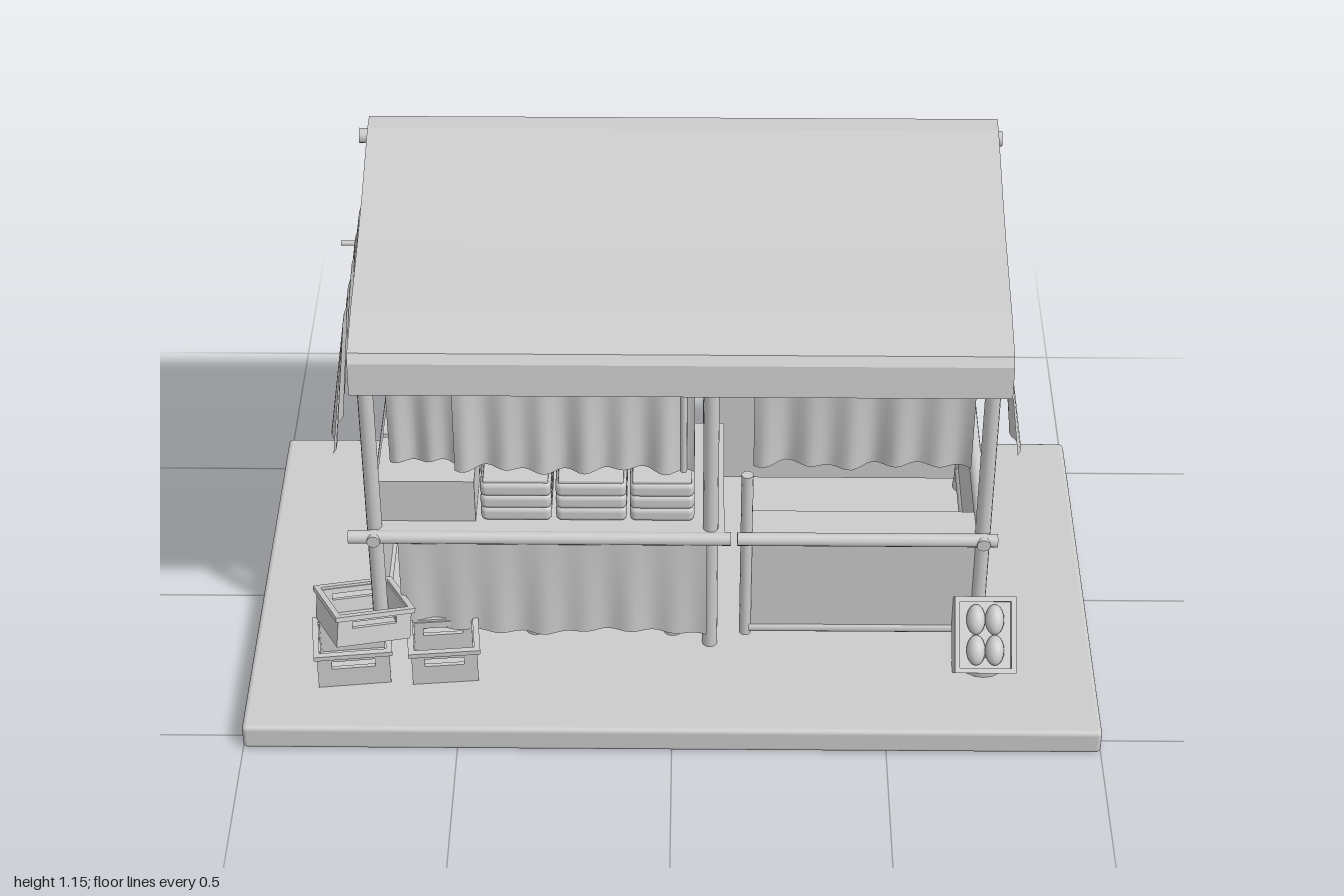
import * as THREE from 'three';
import { RoundedBoxGeometry } from 'three/addons/geometries/RoundedBoxGeometry.js';

const mat = new THREE.MeshStandardMaterial({ color: 0xcccccc });
const thin = new THREE.MeshStandardMaterial({ color: 0xcccccc, side: THREE.DoubleSide });

export function createModel() {
  const root = new THREE.Group();

  const add = (name, geo, x = 0, y = 0, z = 0, parent = root, m = mat) => {
    const mesh = new THREE.Mesh(geo, m);
    mesh.name = name;
    mesh.position.set(x, y, z);
    parent.add(mesh);
    return mesh;
  };
  // box given by its lower and upper corners
  const box = (name, a, b, parent = root) => add(name,
    new THREE.BoxGeometry(b[0] - a[0], b[1] - a[1], b[2] - a[2]),
    (a[0] + b[0]) / 2, (a[1] + b[1]) / 2, (a[2] + b[2]) / 2, parent);
  // round pole between two points
  const pole = (name, a, b, r = 0.018, parent = root) => {
    const p = new THREE.Vector3(...a), q = new THREE.Vector3(...b), d = q.clone().sub(p);
    const mesh = add(name, new THREE.CylinderGeometry(r, r, d.length(), 12), 0, 0, 0, parent);
    mesh.position.copy(p).add(q).multiplyScalar(0.5);
    mesh.quaternion.setFromUnitVectors(new THREE.Vector3(0, 1, 0), d.normalize());
    return mesh;
  };
  // hanging cloth, pinned at the top, with folds that deepen downward and a lean
  const cloth = (name, w, h, folds, depth, lean) => {
    const geo = new THREE.PlaneGeometry(w, h, folds * 8, 8);
    const p = geo.attributes.position;
    for (let i = 0; i < p.count; i++) {
      const u = p.getX(i) / w + 0.5, t = 0.5 - p.getY(i) / h;
      const wave = Math.sin(u * folds * Math.PI * 2) + 0.4 * Math.sin(u * folds * 3.7 + 1);
      p.setZ(i, lean * t + depth * (0.2 + 0.8 * t) * wave);
      p.setY(i, p.getY(i) + 0.006 * t * Math.sin(u * 11));
    }
    geo.computeVertexNormals();
    return add(name, geo, 0, 0, 0, root, thin);
  };

  const L = 0.722, R = -0.695, F = 0.235, B = -0.36, M = 0.088, G = 0.06;

  // ground slab
  add('groundSlab', new RoundedBoxGeometry(2, 0.066, 1.09, 2, 0.012), 0, 0.033, 0);

  // posts
  for (const x of [L, R]) {
    pole('frontPost', [x, G, F], [x, 0.95, F]);
    pole('backPost', [x, G, B], [x, 1.13, B]);
  }
  pole('frontMiddlePost', [M, G, F], [M, 0.95, F]);
  pole('backMiddlePost', [M, G, B], [M, 1.12, B]);
  pole('dividerPost', [0.172, 0.1, F], [0.172, 0.58, F], 0.014);

  // roof beams and counter rails
  pole('frontBeam', [-0.72, 0.945, F], [0.75, 0.945, F]);
  pole('backBeam', [-0.74, 1.115, B], [0.765, 1.115, B]);
  pole('frontCounterRail', [-0.755, 0.408, 0.26], [0.135, 0.408, 0.26], 0.016);
  pole('frontCounterRail', [0.15, 0.408, 0.26], [0.755, 0.408, 0.26], 0.016);
  for (const x of [L, R]) {
    pole('sideBeam', [x, 0.942, 0.31], [x, 0.942, -0.37], 0.016);
    pole('sideRail', [x, 0.408, 0.28], [x, 0.408, -0.405], 0.016);
    pole('sideBottomRail', [x, 0.125, F], [x, 0.125, B], 0.016);
    box('sidePanel', [x - 0.008, 0.11, B], [x + 0.008, 0.405, F]);
  }

  // sagging roof sheet with a turned-down front edge
  const top = [[-0.39, 1.15], [-0.34, 1.15], [-0.15, 1.092], [0.0, 1.055], [0.2, 1.018], [0.32, 0.985], [0.334, 0.965], [0.342, 0.885]];
  const under = [[0.325, 0.88], [0.308, 0.955], [0.2, 0.987], [0.0, 1.028], [-0.15, 1.065], [-0.34, 1.125], [-0.39, 1.128]];
  const roofShape = new THREE.Shape([...top, ...under].map(([z, y]) => new THREE.Vector2(-z, y)));
  const roofGeo = new THREE.ExtrudeGeometry(roofShape, { depth: 1.472, bevelEnabled: false });
  roofGeo.rotateY(Math.PI / 2);
  add('roof', roofGeo, -0.718, 0, 0);

  // back wall: full height behind one bay, raised behind the other
  box('backWall', [M, 0.1, B - 0.008], [L, 0.84, B + 0.008]);
  box('raisedBackWall', [R, 0.37, B - 0.008], [M, 0.84, B + 0.008]);
  box('backShelf', [0.18, 0.43, B], [0.7, 0.49, B + 0.02]);

  // front panel of the narrow bay
  box('frontPanel', [0.185, 0.11, F - 0.008], [L, 0.4, F + 0.008]);
  pole('frontBottomRail', [0.18, 0.12, F], [L, 0.12, F], 0.014);
  box('narrowLedge', [0.16, 0.395, 0.16], [L, 0.412, 0.26]);

  // counter with its front cloth and low shelf
  box('counterTop', [R, 0.398, -0.16], [0.12, 0.422, 0.26]);
  box('underShelf', [-0.5, 0.23, -0.16], [0.06, 0.25, 0.1]);
  cloth('counterCloth', 0.72, 0.28, 7, 0.006, 0.004).position.set(-0.28, 0.27, 0.268);

  // ribbed storage bins in two rows
  for (const [z, d] of [[0.135, 0.165], [-0.05, 0.18]]) {
    box('squareBin', [-0.685, 0.42, z - d / 2], [-0.46, 0.54, z + d / 2]);
    [[-0.365, 0.165], [-0.19, 0.165], [-0.025, 0.15]].forEach(([x, w]) => {
      for (let i = 0; i < 3; i++) {
        add('ribbedBin', new RoundedBoxGeometry(w, 0.041, d, 3, 0.014), x, 0.441 + i * 0.036, z);
      }
      add('binLid', new RoundedBoxGeometry(w * 0.92, 0.012, d * 0.92, 1, 0.004), x, 0.534, z);
    });
  }

  // front curtains
  [[-0.575, 0.15, 0.3, 2], [-0.225, 0.55, 0.31, 6], [0.435, 0.5, 0.31, 5]].forEach(([x, w, h, n], i) => {
    cloth('frontCurtain', w, h + 0.02, n, 0.011, i === 1 ? 0.012 : -0.012).position.set(x, 0.765, F);
  });
  pole('curtainEdge', [0.025, 0.59, F], [0.025, 0.93, F], 0.008);

  // side curtains, two lengths each, leaning outward
  for (const s of [1, -1]) {
    const x = s > 0 ? L + 0.03 : R - 0.05;
    for (const [z, w, n] of [[-0.022, 0.405, 4], [-0.278, 0.105, 1]]) {
      const c = cloth('sideCurtain', w, 0.335, n, 0.009, 0.04);
      c.position.set(x, 0.765, z);
      c.rotation.y = s * Math.PI / 2;
    }
  }

  // stools under the counter
  for (const [x, z] of [[-0.09, -0.26], [-0.39, -0.26], [-0.22, -0.11], [-0.06, 0.03]]) {
    const w = z < -0.2 ? 0.065 : 0.045;
    add('stool', new THREE.CylinderGeometry(w, w * 0.9, 0.12, 16), x, 0.125, z);
    add('stoolSeat', new RoundedBoxGeometry(w * 2.1, 0.025, w * 2.1, 2, 0.01), x, 0.195, z);
  }
  pole('innerLeg', [-0.33, G, 0.19], [-0.33, 0.4, 0.19], 0.024);
  pole('innerLeg', [0.0, G, 0.19], [0.0, 0.4, 0.19], 0.024);

  // open crates with a hand slot in front and back
  const crate = (w, h, d) => {
    const g = new THREE.Group();
    g.name = 'crate';
    const t = 0.01;
    box('crateFloor', [-w / 2, 0, -d / 2], [w / 2, t, d / 2], g);
    for (const s of [-1, 1]) {
      add('crateSide', new THREE.BoxGeometry(t, h, d), s * (w - t) / 2, h / 2, 0, g);
      const wall = new THREE.Shape([[-w / 2, 0], [w / 2, 0], [w / 2, h], [-w / 2, h]].map(p => new THREE.Vector2(...p)));
      wall.holes.push(new THREE.Path([[-0.3, 0.6], [-0.3, 0.82], [0.3, 0.82], [0.3, 0.6]].map(([u, v]) => new THREE.Vector2(u * w, v * h))));
      add('crateEnd', new THREE.ExtrudeGeometry(wall, { depth: t, bevelEnabled: false }), 0, 0, s > 0 ? d / 2 - t : -d / 2, g);
      add('crateRim', new THREE.BoxGeometry(w + 0.012, 0.012, 0.014), 0, h, s * d / 2, g);
      add('crateRim', new THREE.BoxGeometry(0.014, 0.012, d + 0.012), s * w / 2, h, 0, g);
    }
    root.add(g);
    return g;
  };
  const place = (c, x, y, z, rx, ry, rz) => { c.position.set(x, y, z); c.rotation.set(rx, ry, rz); };
  place(crate(0.17, 0.1, 0.13), -0.755, G, 0.33, 0, 0.12, 0);
  place(crate(0.155, 0.1, 0.12), -0.54, G, 0.325, 0, 0.1, 0);
  place(crate(0.18, 0.075, 0.16), -0.73, 0.175, 0.315, -0.22, 0.42, -0.08);

  // display box tilted back, with round goods inside
  const display = new THREE.Group();
  display.name = 'displayBox';
  box('displayBody', [-0.072, -0.09, -0.1], [0.072, 0.09, -0.02], display);
  for (const s of [-1, 1]) {
    box('displaySide', [s * 0.066 - 0.006, -0.09, -0.03], [s * 0.066 + 0.006, 0.09, 0], display);
    box('displayEnd', [-0.072, s * 0.084 - 0.006, -0.03], [0.072, s * 0.084 + 0.006, 0], display);
    for (const v of [-1, 1]) {
      const fruit = add('roundGoods', new THREE.SphereGeometry(0.03, 14, 10), s * 0.022, v * 0.036, -0.012, display);
      fruit.scale.set(0.75, 1.2, 0.8);
    }
  }
  display.position.set(0.735, 0.187, 0.34);
  display.rotation.x = -0.74;
  root.add(display);
  add('displayStand', new THREE.CylinderGeometry(0.062, 0.055, 0.08, 16), 0.735, 0.1, 0.3);

  // hanging rack behind the corner post
  const rackZ = -0.415;
  for (const [x0, x1, y] of [[-0.72, -0.465, 1.035], [-0.72, -0.465, 0.985], [-0.81, -0.6, 0.77]]) {
    pole('rackBar', [x0, y, rackZ], [x1, y, rackZ], 0.006);
  }
  for (const x of [-0.66, -0.7]) {
    pole('rackUpright', [x, 1.042, rackZ], [x - 0.06, 0.755, rackZ], 0.006);
  }
  pole('rackHook', [-0.7, 1.0, rackZ], [-0.695, 1.0, B], 0.006);

  return root;
}
